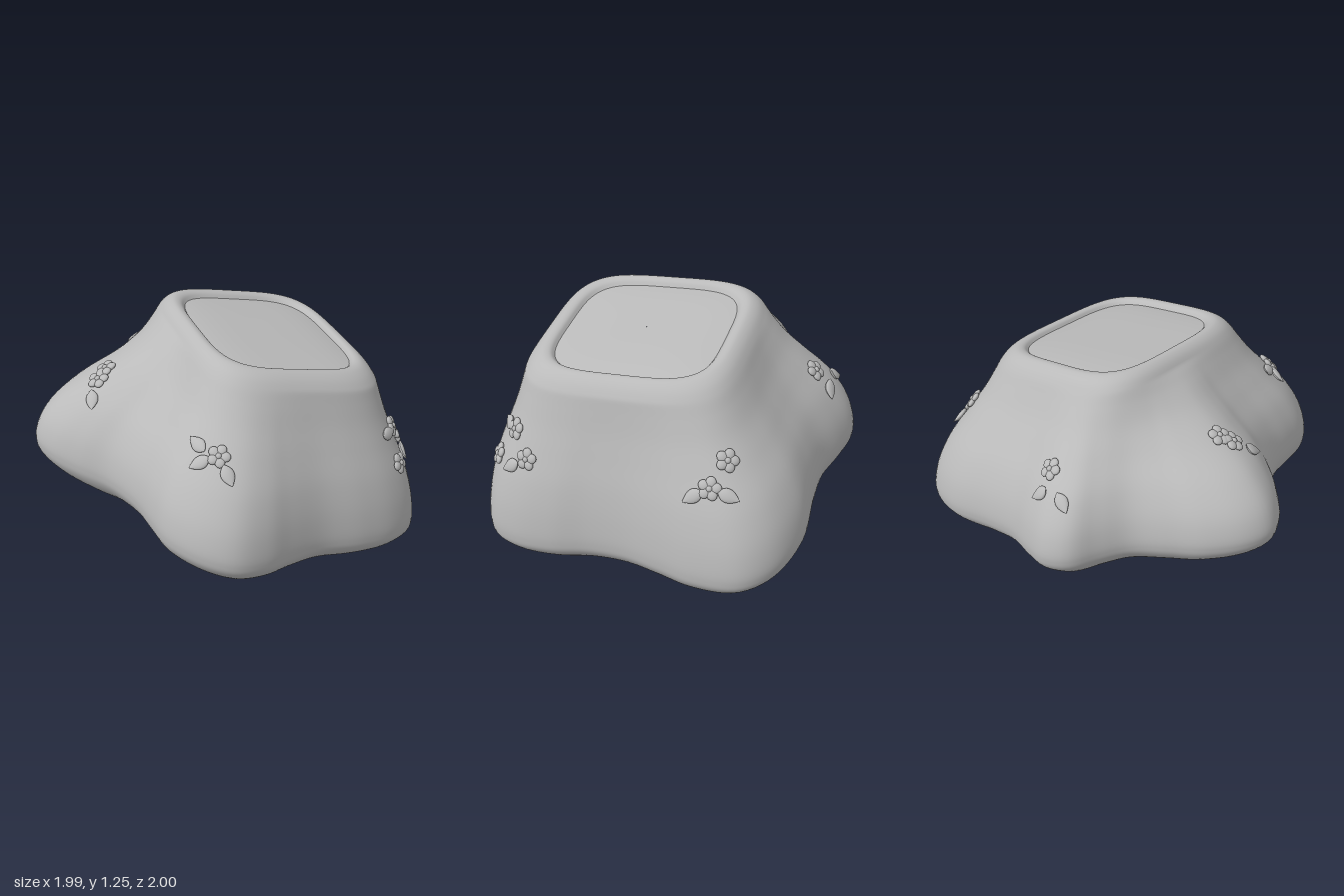
import * as THREE from 'three';
import { mergeGeometries } from 'three/addons/utils/BufferGeometryUtils.js';

const SEG = 180;
const lerp = THREE.MathUtils.lerp;

// five-lobed plan outline (x, z)
const OUTLINE = [
  [-1, -0.08], [-0.97, -0.22], [-0.85, -0.38], [-0.7, -0.49], [-0.55, -0.61], [-0.48, -0.75], [-0.42, -0.9],
  [-0.3, -0.97], [-0.15, -0.96], [0.03, -0.93], [0.22, -0.95], [0.5, -1], [0.75, -0.95], [0.88, -0.83],
  [0.92, -0.6], [0.9, -0.4], [0.885, -0.2], [0.91, 0], [0.97, 0.2], [0.99, 0.4], [0.95, 0.55], [0.8, 0.67],
  [0.6, 0.74], [0.35, 0.79], [0.15, 0.88], [0, 0.96], [-0.17, 0.995], [-0.33, 0.93], [-0.47, 0.78],
  [-0.52, 0.62], [-0.57, 0.45], [-0.68, 0.28], [-0.82, 0.17], [-0.94, 0.05]];

// body profile: scale of the outline, blend towards the shoulder (over 1 = rolling inwards to the opening), height
const SHOULDER = 1.32;
const PROFILE = [
  [0.002, 0, 0.14], [0.3, 0, 0.14], [0.6, 0, 0.145], [0.8, 0, 0.18], [0.93, 0, 0.25], [0.99, 0, 0.32],
  [1, 0, 0.38], [1, 0.06, 0.51], [1, 0.24, 0.67], [1, 0.53, 0.83], [1, 0.75, 0.95], [1, 0.9, 1.05],
  [1, 1, 1.12], [1, 1.08, 1.162], [1, 1.17, 1.187], [1, 1.23, 1.19], [1, 1.28, 1.182], [1, 1.32, 1.162]];

// rounded-square opening, slightly turned; returns the point at an angle and scale
function rimPoint(angle, scale) {
  const a = angle + 0.13;
  const r = scale / Math.pow(Math.pow(Math.abs(Math.cos(a)) / 0.375, 4) + Math.pow(Math.abs(Math.sin(a)) / 0.425, 4), 0.25);
  return [0.255 + r * Math.cos(angle), r * Math.sin(angle)];
}

// joins closed rings of points; the whole shape leans down to +x and +z
function loft(rows, ringPoint) {
  const positions = [], index = [];
  rows.forEach((row, i) => {
    for (let j = 0; j < SEG; j++) {
      const [x, z, h] = ringPoint(row, j);
      positions.push(x, h - 0.21 * x - 0.05 * z, z);
      if (i === rows.length - 1) continue;
      const a = i * SEG + j, b = i * SEG + (j + 1) % SEG;
      index.push(a, a + SEG, b, b, a + SEG, b + SEG);
    }
  });
  const g = new THREE.BufferGeometry();
  g.setAttribute('position', new THREE.Float32BufferAttribute(positions, 3));
  g.setIndex(index);
  g.computeVertexNormals();
  return g;
}

// pointed, gently cupped leaf lying along +z
function leafGeometry() {
  const g = new THREE.SphereGeometry(1, 20, 14).rotateX(Math.PI / 2);
  const p = g.attributes.position;
  for (let i = 0; i < p.count; i++) {
    const z = p.getZ(i);
    const taper = Math.sqrt(Math.max(0, 1 - z * z)) * (1 - 0.25 * z);
    p.setXYZ(i, p.getX(i) * taper * 0.034, p.getY(i) * taper * 0.016 + 0.008 * z * z, z * 0.058);
  }
  g.computeVertexNormals();
  return g;
}

// five soft petals around a small button
function flowerGeometry() {
  const parts = [new THREE.SphereGeometry(0.015, 14, 10).scale(1, 0.8, 1).translate(0, 0.012, 0)];
  for (let i = 0; i < 5; i++) {
    parts.push(new THREE.SphereGeometry(0.026, 14, 10).scale(1, 0.55, 1.1)
      .translate(0, 0.003, 0.031).rotateY(i * Math.PI * 0.4));
  }
  return mergeGeometries(parts);
}

// clusters: 'y' is placed from above at (x, z), 'x' from the left side at (z, y);
// leaves add the heading of their tip in the same two axes
const CLUSTERS = [
  { name: 'frontBlossoms', axis: 'y', flowers: [[-0.19, 0.73]],
    leaves: [[-0.27, 0.645, -0.5, -1], [-0.28, 0.715, -1, -0.1], [-0.165, 0.805, 0.3, 1]] },
  { name: 'rightBlossoms', axis: 'y', flowers: [[-0.6, -0.07], [-0.65, -0.02]], leaves: [[-0.7, 0.07, -0.2, 1]] },
  { name: 'backBlossoms', axis: 'y', flowers: [[-0.155, -0.77]],
    leaves: [[-0.31, -0.83, -1, -0.2], [-0.17, -0.855, 0.8, -0.5]] },
  { name: 'leftFrontBlossoms', axis: 'x', flowers: [[0.44, 0.71], [0.34, 0.6], [0.545, 0.54]],
    leaves: [[0.51, 0.705, 1, 0.1], [0.43, 0.54, 1, -0.7]] },
  { name: 'leftBackBlossoms', axis: 'x', flowers: [[-0.66, 0.78], [-0.62, 0.67]],
    leaves: [[-0.71, 0.645, -1, -0.35], [-0.55, 0.625, 0.8, -0.6]] },
];

export function createModel() {
  const model = new THREE.Group();
  const grey = new THREE.MeshStandardMaterial({ color: 0xbababa });
  grey.name = 'plain grey';

  const outer = new THREE.CatmullRomCurve3(OUTLINE.map(([x, z]) => new THREE.Vector3(x, 0, z)), true)
    .getSpacedPoints(SEG).slice(0, SEG);
  const angles = outer.map((p) => Math.atan2(p.z, p.x - 0.255));

  // lobed body with its rolled lip
  const rows = new THREE.CatmullRomCurve3(PROFILE.map((p) => new THREE.Vector3(...p))).getPoints(100);
  const bodyGeometry = loft(rows, ({ x: s, y: blend, z: h }, j) => {
    const t = THREE.MathUtils.clamp(blend, 0, 1);
    const [rx, rz] = rimPoint(angles[j], SHOULDER - Math.max(0, blend - 1));
    return [lerp(lerp(0.1, outer[j].x, s), rx, t), lerp(outer[j].z * s, rz, t), h];
  });
  bodyGeometry.computeBoundingBox();
  const lift = -bodyGeometry.boundingBox.min.y;
  bodyGeometry.translate(0, lift, 0);
  const body = new THREE.Mesh(bodyGeometry, grey);
  body.name = 'body';
  model.add(body);

  // softly domed panel set inside the lip
  const steps = Array.from({ length: 13 }, (_, i) => 1 - i / 12);
  const panelGeometry = loft(steps, (s, j) => {
    const [x, z] = rimPoint(angles[j], Math.max(s, 0.002));
    return [x, z, 1.162 + 0.015 * (1 - s ** 4)];
  }).translate(0, lift, 0);
  const panel = new THREE.Mesh(panelGeometry, grey);
  panel.name = 'topPanel';
  model.add(panel);

  // blossoms and leaves laid on the surface
  const ray = new THREE.Raycaster();
  const flower = flowerGeometry(), leaf = leafGeometry();
  for (const { name, axis, flowers, leaves } of CLUSTERS) {
    const group = new THREE.Group();
    group.name = name;
    const place = (u, v) => (axis === 'y' ? new THREE.Vector3(u, 0, v) : new THREE.Vector3(0, v, u));
    const out = axis === 'y' ? new THREE.Vector3(0, 1, 0) : new THREE.Vector3(1, 0, 0);
    const lay = ([u, v, du = 0, dv = 1], geometry, label) => {
      ray.set(place(u, v).addScaledVector(out, 5), out.clone().negate());
      const hit = ray.intersectObject(body)[0];
      const up = hit.face.normal.clone();
      // follow the slope while keeping the heading seen along the placing axis
      const heading = place(du, dv);
      heading.addScaledVector(out, -heading.dot(up) / out.dot(up)).normalize();
      const side = up.clone().cross(heading).normalize();
      const mesh = new THREE.Mesh(geometry, grey);
      mesh.name = label;
      mesh.quaternion.setFromRotationMatrix(new THREE.Matrix4().makeBasis(side, up, heading));
      mesh.position.copy(hit.point).addScaledVector(up, 0.008);
      group.add(mesh);
    };
    flowers.forEach((f) => lay(f, flower, 'flower'));
    leaves.forEach((l) => lay(l, leaf, 'leaf'));
    model.add(group);
  }
  return model;
}
